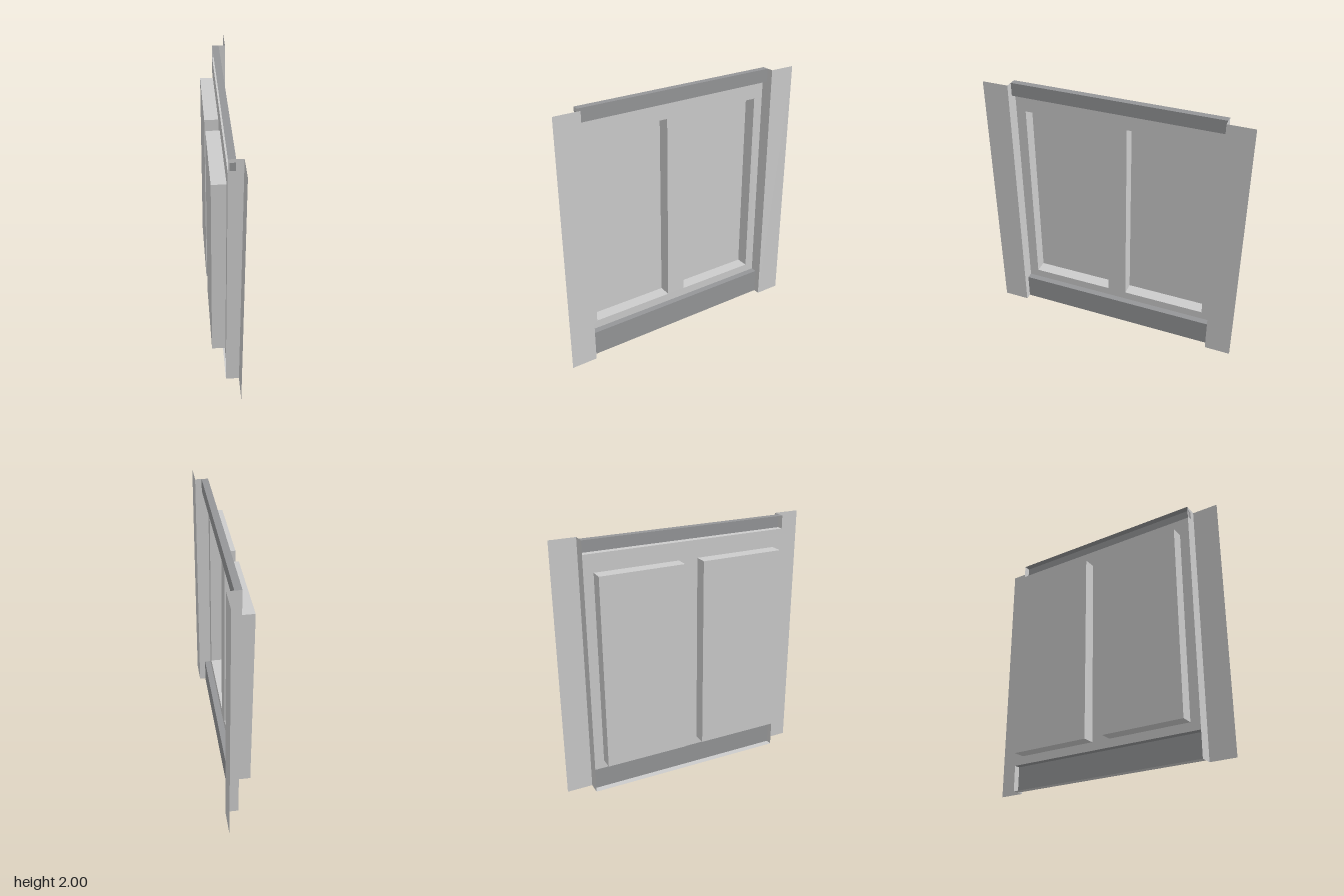
import * as THREE from 'three';

export function createModel() {
  const model = new THREE.Group();
  const pale = new THREE.MeshStandardMaterial({ color: 0xcccccc, side: THREE.DoubleSide });
  pale.name = 'pale grey sheet';
  const dark = new THREE.MeshStandardMaterial({ color: 0x959698, side: THREE.DoubleSide });
  dark.name = 'dark grey trim';

  const add = (name, geometry, material, parent = model) => {
    const mesh = new THREE.Mesh(geometry, material);
    mesh.name = name;
    parent.add(mesh);
    return mesh;
  };
  // Flat sheets, each perpendicular to one axis
  const sheetX = (x, y0, y1, z0, z1) =>
    new THREE.PlaneGeometry(z1 - z0, y1 - y0).rotateY(Math.PI / 2).translate(x, (y0 + y1) / 2, (z0 + z1) / 2);
  const sheetY = (y, x0, x1, z0, z1) =>
    new THREE.PlaneGeometry(x1 - x0, z1 - z0).rotateX(-Math.PI / 2).translate((x0 + x1) / 2, y, (z0 + z1) / 2);
  const sheetZ = (z, x0, x1, y0, y1) =>
    new THREE.PlaneGeometry(x1 - x0, y1 - y0).translate((x0 + x1) / 2, (y0 + y1) / 2, z);
  const rectangle = (path, x0, x1, y0, y1) =>
    path.moveTo(x0, y0).lineTo(x1, y0).lineTo(x1, y1).lineTo(x0, y1).closePath();

  const low = 0.265, high = 1.765, inner = 0.075, outer = 0.725;

  // Main web with two rectangular openings
  const web = rectangle(new THREE.Shape(), -0.8, 0.8, 0.2, 1.9);
  for (const [a, b] of [[-outer, -inner], [inner, outer]]) {
    web.holes.push(rectangle(new THREE.Path(), a, b, low, high));
  }
  add('web', new THREE.ShapeGeometry(web).rotateY(Math.PI / 2), pale);

  for (const [side, s] of [['left', 1], ['right', -1]]) {
    const [z0, z1] = s > 0 ? [inner, outer] : [-outer, -inner];

    // Pressed pocket behind each opening
    const pocket = new THREE.Group();
    pocket.name = side + 'Pocket';
    model.add(pocket);
    add('pocketBack', sheetX(-0.1, low, high, z0, z1), pale, pocket);
    for (const y of [low, high]) add('pocketLedge', sheetY(y, -0.1, 0, z0, z1), pale, pocket);
    for (const z of [z0, z1]) add('pocketSide', sheetZ(z, -0.1, 0, low, high), pale, pocket);

    // Folded return and mounting flange
    add(side + 'Return', sheetZ(s * 0.8, 0, 0.1, 0, 2), pale);
    add(side + 'Flange', sheetX(0.1, 0, 2, Math.min(s * 0.8, s), Math.max(s * 0.8, s)), pale);
  }

  // Top and bottom rails: dark face and cap, pale lower ledge, open behind
  for (const [name, y0, y1] of [['bottomRail', 0, 0.2], ['topRail', 1.9, 2]]) {
    const rail = new THREE.Group();
    rail.name = name;
    model.add(rail);
    add('railFace', sheetX(0.05, y0, y1, -0.8, 0.8), dark, rail);
    add('railCap', sheetY(y1, 0, 0.05, -0.8, 0.8), dark, rail);
    add('railLedge', sheetY(y0, 0, 0.05, -0.8, 0.8), pale, rail);
  }

  // Small end mark of the top rail
  add('railEnd', sheetZ(0.801, 0.01, 0.05, 1.915, 1.975), dark);

  return model;
}
